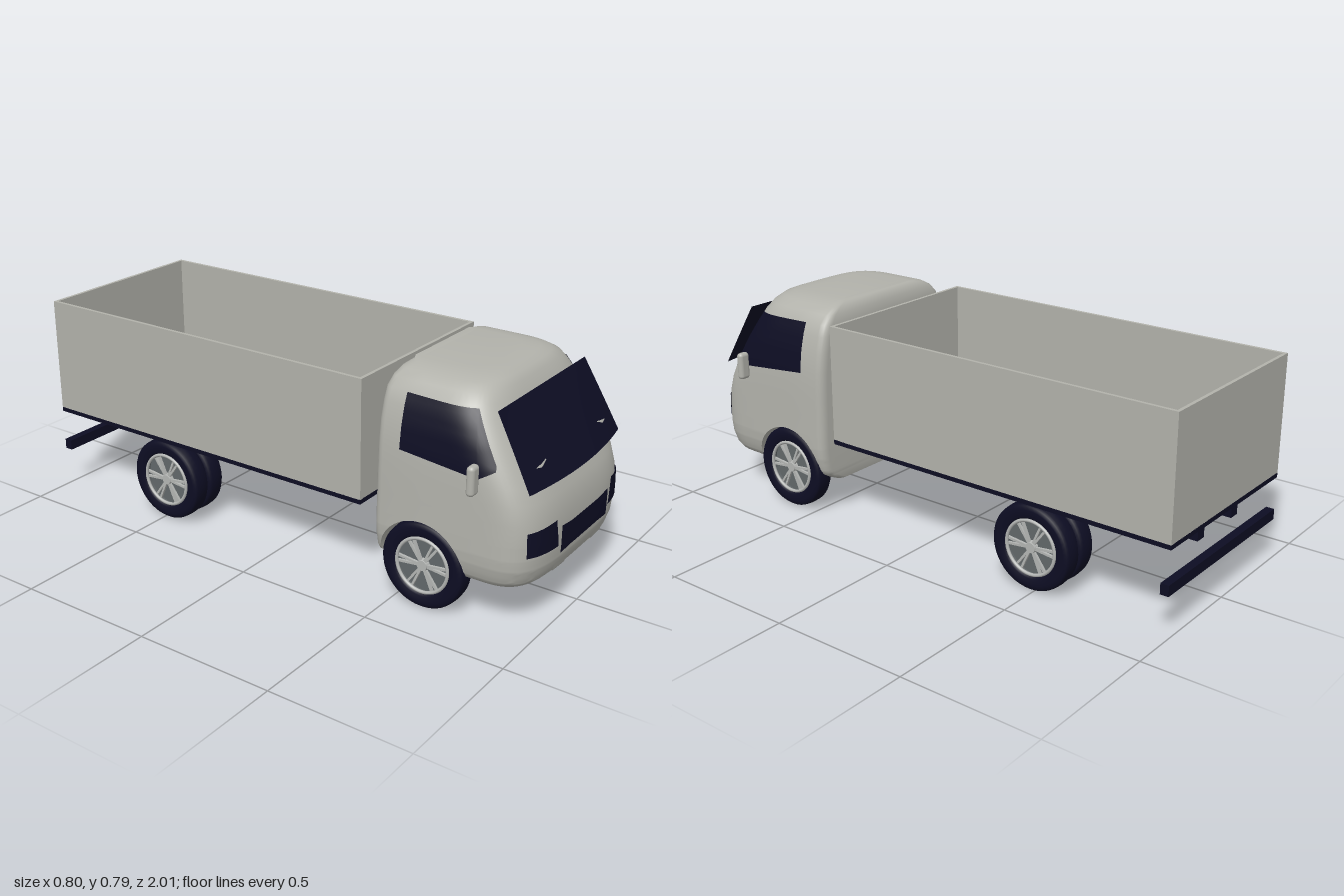
import * as THREE from 'three';
import { toCreasedNormals } from 'three/addons/utils/BufferGeometryUtils.js';
import { RoundedBoxGeometry } from 'three/addons/geometries/RoundedBoxGeometry.js';

const mat = (name, color, side = THREE.FrontSide) => {
  const m = new THREE.MeshStandardMaterial({ color, side });
  m.name = name;
  return m;
};

// Cab stations: height, half width, front z, back z
const STATIONS = [
  [0.126, 0.27, 0.89, 0.432], [0.14, 0.30, 0.94, 0.43], [0.16, 0.332, 0.967, 0.43], [0.18, 0.345, 0.985, 0.43],
  [0.22, 0.355, 0.997, 0.43], [0.26, 0.358, 1.0, 0.43], [0.31, 0.357, 1.0, 0.43], [0.38, 0.355, 0.998, 0.43],
  [0.44, 0.354, 0.98, 0.43], [0.49, 0.352, 0.956, 0.43], [0.55, 0.349, 0.922, 0.43], [0.62, 0.34, 0.88, 0.43],
  [0.68, 0.325, 0.843, 0.431], [0.72, 0.31, 0.819, 0.433], [0.75, 0.285, 0.8, 0.44], [0.77, 0.25, 0.78, 0.45],
  [0.78, 0.215, 0.75, 0.462], [0.786, 0.17, 0.70, 0.49],
];
const ARCH = { z: 0.61, y: 0.155, r: 0.157 };
const ARCH_TOP = ARCH.y + ARCH.r;
const POWER = 4;

function station(y) {
  let i = 0;
  while (i < STATIONS.length - 2 && y > STATIONS[i + 1][0]) i++;
  const a = STATIONS[i], b = STATIONS[i + 1];
  const t = THREE.MathUtils.clamp((y - a[0]) / (b[0] - a[0]), 0, 1);
  const [w, zf, zb] = [1, 2, 3].map((k) => a[k] + (b[k] - a[k]) * t);
  const zc = y <= ARCH_TOP ? Math.max(zf - 0.22, 0.775) : zf - 0.22;
  return { w, zf, zb, zc, d: zf - zc };
}
const round = (q) => Math.pow(Math.max(0, 1 - Math.pow(Math.min(1, q), POWER)), 1 / POWER);
const cabFrontZ = (x, y) => { const s = station(y); return s.zc + s.d * round(Math.abs(x) / s.w); };
const cabSideX = (z, y) => { const s = station(y); return z < s.zc ? s.w : s.w * round((z - s.zc) / s.d); };

// Half outline of the cab at one height, front centre to back centre
const FRONT_STEPS = 16;
function halfRing(y) {
  const { w, zf, zb, zc, d } = station(y);
  const pts = [];
  for (let i = 0; i <= FRONT_STEPS; i++) {
    const t = (i / FRONT_STEPS) * Math.PI / 2;
    pts.push([w * Math.pow(Math.sin(t), 2 / POWER), zc + d * Math.pow(Math.max(0, Math.cos(t)), 2 / POWER)]);
  }
  // wheel tunnel
  const dy = Math.max(0, y - ARCH.y);
  const r = y < ARCH_TOP ? Math.sqrt(Math.max(0, ARCH.r ** 2 - dy * dy)) : 0;
  const z0 = Math.min(ARCH.z, zc - 0.02), depthX = r > 0 ? 0 : w;
  pts.push([w, z0 + r], [depthX, z0 + r], [depthX, z0 - r], [w, z0 - r]);
  // back corner
  const db = Math.min(0.03, z0 - r - zb);
  for (let i = 0; i <= 5; i++) {
    const t = (i / 5) * Math.PI / 2;
    pts.push([w - 0.035 * (1 - Math.cos(t)), zb + db * (1 - Math.sin(t))]);
  }
  pts.push([0, zb]);
  return pts.map(([x, z]) => [x, y, z]);
}

function cabGeometry() {
  const heights = STATIONS.map((s) => s[0]);
  for (let i = 0; i < 16; i++) heights.push(ARCH.y + ARCH.r * Math.sin((i / 16) * Math.PI / 2));
  heights.push(ARCH_TOP - 1e-5, ARCH_TOP);
  heights.sort((a, b) => a - b);
  const rings = heights.map(halfRing), n = rings[0].length, out = [];
  const mirror = (p) => [-p[0], p[1], p[2]];
  const quad = (a, b, c, d) => out.push(...a, ...b, ...c, ...a, ...c, ...d);
  const gap = FRONT_STEPS + 2; // open middle of the wheel tunnel
  for (let j = 0; j < rings.length - 1; j++) {
    for (let i = 0; i < n - 1; i++) {
      if (i === gap) continue;
      const q = [rings[j][i], rings[j][i + 1], rings[j + 1][i + 1], rings[j + 1][i]];
      quad(...q);
      quad(...q.map(mirror).reverse());
    }
  }
  const low = rings[0], high = rings[rings.length - 1];
  for (let i = 0; i < n - 1; i++) {
    quad(low[i], mirror(low[i]), mirror(low[i + 1]), low[i + 1]);
    quad(high[i + 1], mirror(high[i + 1]), mirror(high[i]), high[i]);
  }
  const g = new THREE.BufferGeometry();
  g.setAttribute('position', new THREE.Float32BufferAttribute(out, 3));
  return toCreasedNormals(g, 0.65);
}

// Thin panel between two outlines, laid on a surface by place(a, b)
function panelGeometry(bottom, top, place) {
  const U = 24, V = 10, g = new THREE.PlaneGeometry(1, 1, U, V), p = g.attributes.position;
  const along = (line, u) => {
    const s = u * (line.length - 1), i = Math.min(line.length - 2, Math.floor(s)), t = s - i;
    return [0, 1].map((k) => line[i][k] + (line[i + 1][k] - line[i][k]) * t);
  };
  for (let i = 0; i < p.count; i++) {
    const u = p.getX(i) + 0.5, v = p.getY(i) + 0.5, b = along(bottom, u), t = along(top, u);
    p.setXYZ(i, ...place(b[0] + (t[0] - b[0]) * v, b[1] + (t[1] - b[1]) * v));
  }
  g.computeVertexNormals();
  return g;
}

export function createModel() {
  const truck = new THREE.Group();
  truck.name = 'truck';
  const paint = mat('grey paint', 0xb2b2ab, THREE.DoubleSide);
  const dark = mat('dark navy', 0x0d0d23, THREE.DoubleSide);
  const silver = mat('rim silver', 0xb4b6b4);
  const steel = mat('wheel steel', 0x62686a, THREE.DoubleSide);

  const add = (parent, name, geo, material, x = 0, y = 0, z = 0) => {
    const m = new THREE.Mesh(geo, material);
    m.name = name;
    m.position.set(x, y, z);
    parent.add(m);
    return m;
  };
  const box = (name, material, w, h, d, x, y, z) => add(truck, name, new THREE.BoxGeometry(w, h, d), material, x, y, z);

  // Cab and its glass
  add(truck, 'cab', cabGeometry(), paint);
  const glassZ = (x, y) => 0.99 - (y - 0.487) * 0.69 - 0.03 * (x / 0.315) ** 2 * (0.72 - y) / 0.233;
  add(truck, 'windshield', panelGeometry([[-0.315, 0.487], [0.315, 0.487]], [[-0.295, 0.721], [0.295, 0.721]],
    (x, y) => [x, y, glassZ(x, y)]), dark);
  const onFront = (x, y) => [x, y, cabFrontZ(x, y) + 0.006];
  add(truck, 'grille', panelGeometry([[-0.162, 0.244], [-0.1, 0.249], [0.1, 0.249], [0.168, 0.244]],
    [[-0.162, 0.339], [-0.1, 0.333], [0.1, 0.333], [0.168, 0.339]], onFront), dark);

  for (const s of [1, -1]) {
    add(truck, 'headlight', panelGeometry([[0.178 * s, 0.275], [0.313 * s, 0.275]],
      [[0.195 * s, 0.37], [0.313 * s, 0.358]], onFront), dark);
    add(truck, 'bumperPlate', panelGeometry([[0.095 * s, 0.162], [0.175 * s, 0.162]],
      [[0.095 * s, 0.203], [0.175 * s, 0.203]], (x, y) => [x, y, cabFrontZ(x, y) + 0.003]), paint);
    add(truck, 'windshieldMark', panelGeometry([[0.18 * s, 0.553], [0.215 * s, 0.541], [0.24 * s, 0.545]],
      [[0.18 * s, 0.556], [0.205 * s, 0.551], [0.24 * s, 0.546]], (x, y) => [x, y, glassZ(x, y) + 0.004]), paint);
    add(truck, 'sideWindow', panelGeometry([[0.855, 0.545], [0.805, 0.515], [0.525, 0.542]],
      [[0.853, 0.56], [0.765, 0.715], [0.525, 0.721]], (z, y) => [s * (cabSideX(z, y) + 0.007), y, z]), dark);
    add(truck, 'mirror', new RoundedBoxGeometry(0.044, 0.1, 0.028, 5, 0.013), paint, s * 0.379, 0.52, 0.8);
    // Chassis rails
    box('chassisRail', dark, 0.04, 0.07, 1.395, s * 0.11, 0.275, -0.2725);
    // Cargo side walls
    box('cargoSide', paint, 0.012, 0.42, 1.376, s * 0.344, 0.53, -0.312);
  }

  // Cargo bed
  box('cargoFloor', dark, 0.7, 0.017, 1.376, 0, 0.3125, -0.312);
  for (const z of [0.37, -0.994]) box('cargoEnd', paint, 0.676, 0.42, 0.012, 0, 0.53, z);
  box('rearBar', dark, 0.7, 0.038, 0.03, 0, 0.168, -0.985);

  // Wheels, built around the x axis with the outer face on +x
  const tirePoints = [[0.1, -0.026], [0.108, -0.034], [0.132, -0.035], [0.145, -0.032], [0.151, -0.024], [0.153, 0],
    [0.151, 0.024], [0.145, 0.032], [0.132, 0.035], [0.108, 0.034], [0.1, 0.026]].map((p) => new THREE.Vector2(...p));
  const tireGeo = new THREE.LatheGeometry(tirePoints, 48);
  const barrelGeo = new THREE.CylinderGeometry(0.1, 0.1, 0.054, 40, 1, true);
  const discGeo = new THREE.CylinderGeometry(0.1, 0.1, 0.006, 40);
  const ringGeo = new THREE.TorusGeometry(0.095, 0.006, 8, 48).rotateX(Math.PI / 2);
  const hubGeo = new THREE.CylinderGeometry(0.018, 0.022, 0.016, 20);
  const spokeGeo = new THREE.BoxGeometry(0.08, 0.009, 0.008).translate(0.053, 0, 0);

  const wheel = (name, s, x, z) => {
    const g = new THREE.Group();
    g.name = name;
    add(g, 'tire', tireGeo, dark);
    add(g, 'rimBarrel', barrelGeo, steel);
    add(g, 'rimDisc', discGeo, steel, 0, 0.004, 0);
    add(g, 'rimRing', ringGeo, silver, 0, 0.028, 0);
    add(g, 'innerRing', ringGeo, silver, 0, -0.028, 0);
    add(g, 'hub', hubGeo, silver, 0, 0.022, 0);
    add(g, 'innerHub', hubGeo, silver, 0, -0.004, 0);
    for (let i = 0; i < 6; i++) {
      for (const k of [-1, 1]) {
        add(g, 'spoke', spokeGeo, silver, 0, 0.022, 0).rotation.y = (i / 6) * Math.PI * 2 + Math.PI / 6 + k * 0.11;
      }
    }
    g.rotation.z = -s * Math.PI / 2;
    g.position.set(s * x, 0.153, z);
    truck.add(g);
  };
  for (const s of [1, -1]) {
    wheel('frontWheel', s, 0.315, 0.612);
    wheel('rearOuterWheel', s, 0.315, -0.485);
    wheel('rearInnerWheel', -s, -0.235, -0.485);
  }
  return truck;
}
